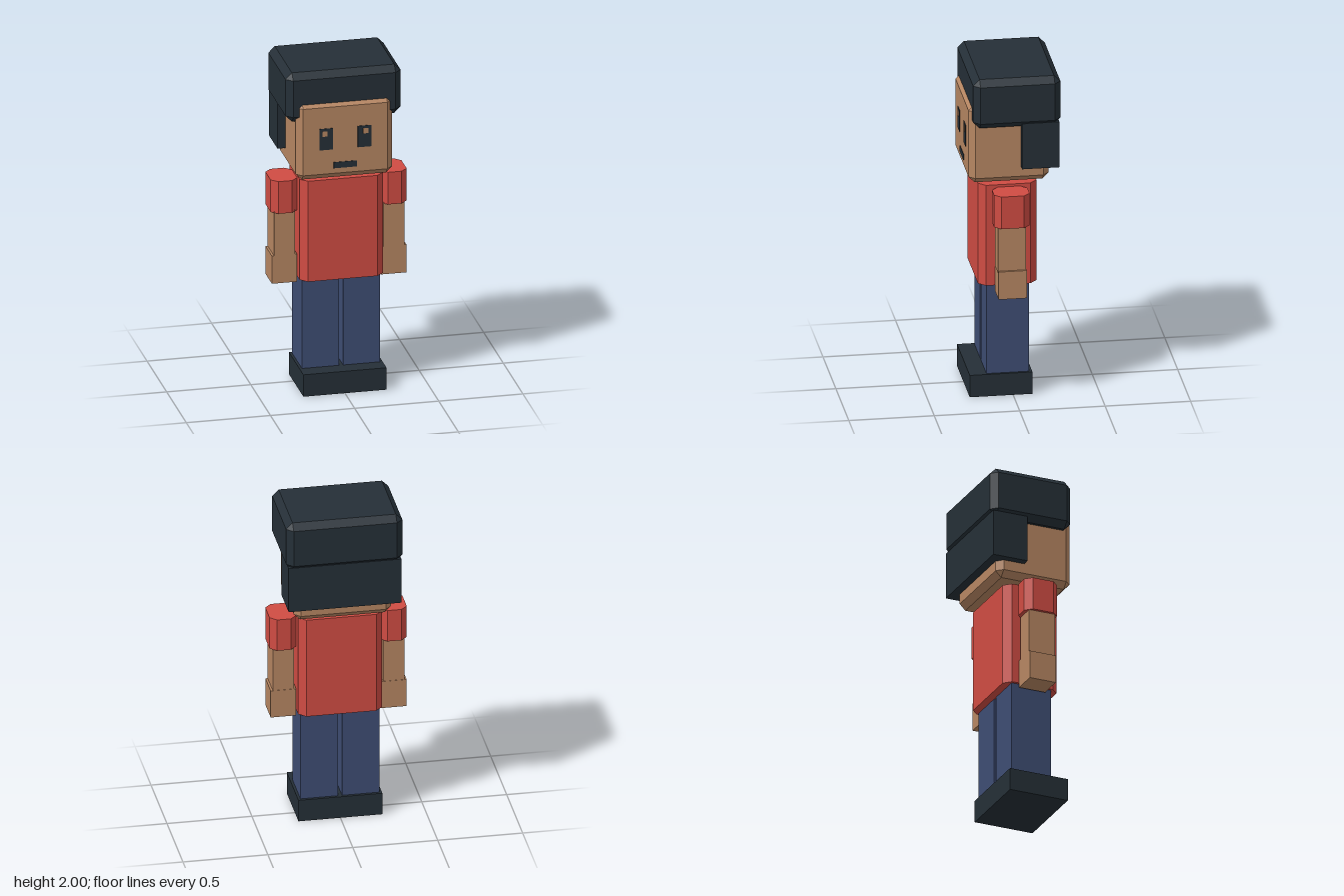
import * as THREE from 'three';
import { ConvexGeometry } from 'three/addons/geometries/ConvexGeometry.js';

const material = (name, color) => {
  const m = new THREE.MeshStandardMaterial({ color });
  m.name = name;
  return m;
};

// All parts are given by their limits: [x0, x1], [y0, y1], [z0, z1]
const size = ([a, b]) => b - a;
const mid = ([a, b]) => (a + b) / 2;

function place(parent, name, geometry, mat, x, y, z) {
  const mesh = new THREE.Mesh(geometry, mat);
  mesh.name = name;
  mesh.position.set(mid(x), mid(y), mid(z));
  parent.add(mesh);
  return mesh;
}

function box(parent, name, mat, x, y, z) {
  return place(parent, name, new THREE.BoxGeometry(size(x), size(y), size(z)), mat, x, y, z);
}

// Box with flat bevels of width c: on every edge, or on the upright edges only
function bevelBox(parent, name, mat, x, y, z, c, uprightOnly = false) {
  const [w, h, d] = [size(x) / 2, size(y) / 2, size(z) / 2];
  const cy = uprightOnly ? 0 : c;
  const points = [];
  for (const i of [-1, 1]) for (const j of [-1, 1]) for (const k of [-1, 1]) {
    points.push(new THREE.Vector3(i * w, j * (h - cy), k * (d - c)));
    points.push(new THREE.Vector3(i * (w - c), j * (h - cy), k * d));
    if (!uprightOnly) points.push(new THREE.Vector3(i * (w - c), j * h, k * (d - c)));
  }
  return place(parent, name, new ConvexGeometry(points), mat, x, y, z);
}

export function createModel() {
  const skin = material('skin', 0xb68662);
  const dark = material('dark slate', 0x252f37);
  const red = material('shirt red', 0xd04c43);
  const blue = material('trouser blue', 0x3e4d73);

  const model = new THREE.Group();
  model.name = 'blockFigure';

  // Head and hair
  const head = new THREE.Group();
  head.name = 'headGroup';
  model.add(head);
  bevelBox(head, 'head', skin, [-0.286, 0.286], [1.34, 1.825], [-0.207, 0.262], 0.036);
  bevelBox(head, 'hairCap', dark, [-0.342, 0.342], [1.697, 2], [-0.268, 0.243], 0.038);
  box(head, 'backHair', dark, [-0.332, 0.332], [1.437, 1.72], [-0.258, -0.04]);

  // Face plates
  box(head, 'mouth', dark, [-0.069, 0.069], [1.408, 1.445], [0.26, 0.265]);

  // Shirt and shoes
  bevelBox(model, 'torso', red, [-0.247, 0.247], [0.69, 1.315], [-0.142, 0.2], 0.041, true);
  box(model, 'shoes', dark, [-0.247, 0.247], [0, 0.136], [-0.113, 0.254]);

  // Paired parts, left then right
  for (const [side, s] of [['left', 1], ['right', -1]]) {
    const span = (a, b) => (s > 0 ? [a, b] : [-b, -a]);
    box(head, side + 'Eye', dark, span(0.074, 0.154), [1.526, 1.658], [0.26, 0.265]);
    box(head, side + 'EyeGlint', skin, span(0.106, 0.137), [1.61, 1.642], [0.261, 0.267]);

    const arm = new THREE.Group();
    arm.name = side + 'ArmGroup';
    model.add(arm);
    bevelBox(arm, side + 'Sleeve', red, span(0.247, 0.404), [1.1, 1.3], [-0.078, 0.13], 0.038, true);
    box(arm, side + 'Arm', skin, span(0.262, 0.387), [0.82, 1.11], [-0.055, 0.11]);
    box(arm, side + 'Hand', skin, span(0.25, 0.4), [0.66, 0.832], [-0.057, 0.108]);

    box(model, side + 'Leg', blue, span(0.0125, 0.232), [0.13, 0.695], [-0.096, 0.154]);
  }
  return model;
}
